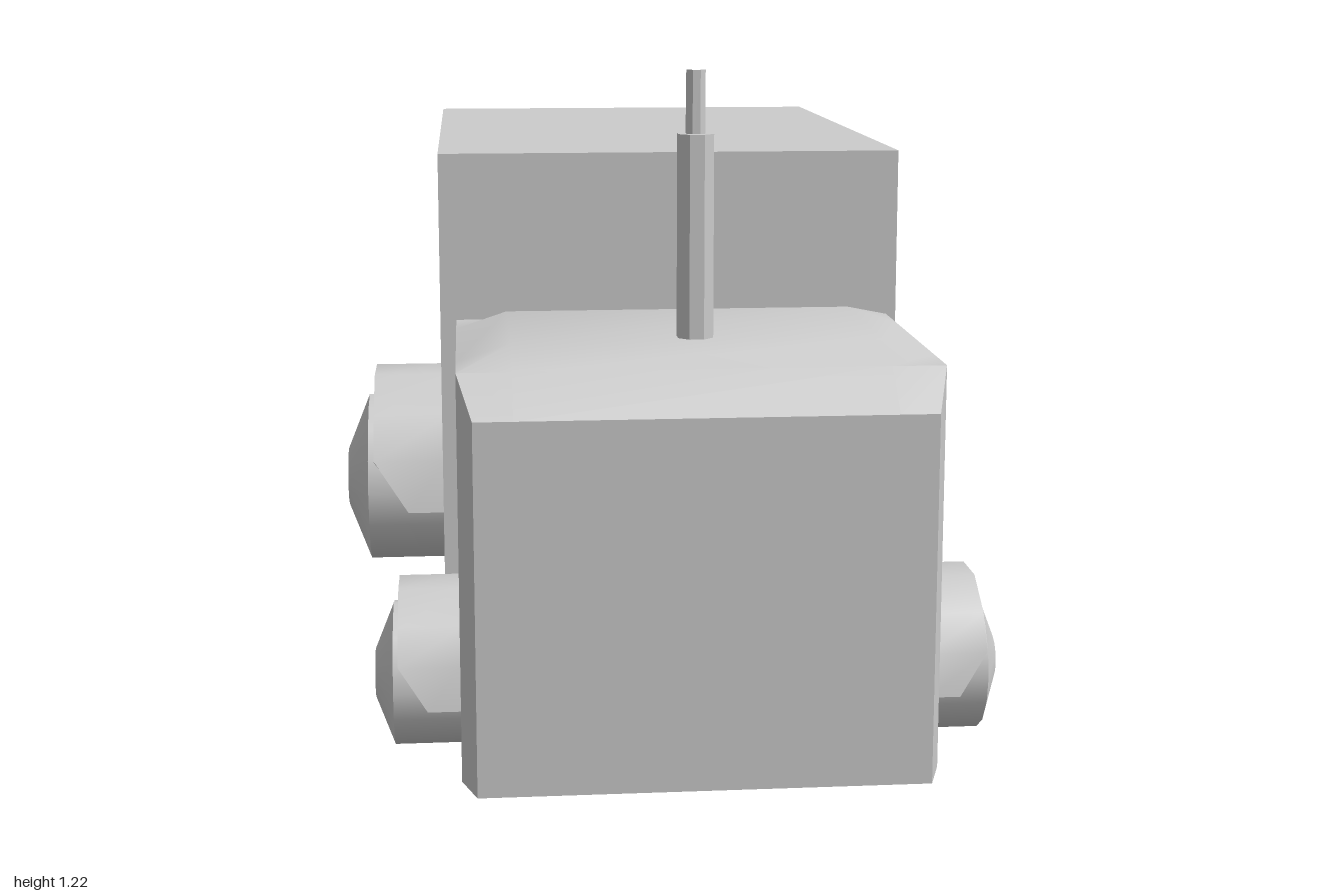
import * as THREE from 'three';
import { toCreasedNormals } from 'three/addons/utils/BufferGeometryUtils.js';

const grey = new THREE.MeshStandardMaterial({ color: 0xcccccc });
const greyOpen = new THREE.MeshStandardMaterial({ color: 0xcccccc, side: THREE.DoubleSide });

function add(parent, name, geometry, x = 0, y = 0, z = 0, material = grey) {
  const mesh = new THREE.Mesh(geometry, material);
  mesh.name = name;
  mesh.position.set(x, y, z);
  parent.add(mesh);
  return mesh;
}

// Skin over matching cross-sections (counter-clockwise seen from +z, listed towards +z)
function loft(sections, crease) {
  const pos = [];
  const tri = (...points) => points.forEach((p) => pos.push(...p));
  const n = sections[0].length;
  for (let i = 0; i + 1 < sections.length; i++) {
    const a = sections[i], b = sections[i + 1];
    for (let j = 0; j < n; j++) {
      const k = (j + 1) % n;
      tri(a[j], a[k], b[k]);
      tri(a[j], b[k], b[j]);
    }
  }
  const first = sections[0], last = sections[sections.length - 1];
  for (let j = 1; j + 1 < n; j++) {
    tri(first[0], first[j + 1], first[j]);
    tri(last[0], last[j], last[j + 1]);
  }
  const geometry = new THREE.BufferGeometry();
  geometry.setAttribute('position', new THREE.Float32BufferAttribute(pos, 3));
  return toCreasedNormals(geometry, crease);
}

// Cab with hipped roof and chamfered nose: z, half width, eave, ridge half width, ridge height
function cabGeometry() {
  const rows = [
    [0.405, 0.4, 0.745, 0.31, 0.745],
    [0.5, 0.4, 0.745, 0.31, 0.775],
    [0.83, 0.4, 0.745, 0.31, 0.775],
    [0.925, 0.4, 0.745, 0.31, 0.745],
    [1.0, 0.375, 0.68, 0.31, 0.68],
  ];
  return loft(rows.map(([z, w, e, r, t]) => [
    [-w, 0.055, z], [w, 0.055, z], [w, e, z], [r, t, z], [-r, t, z], [-w, e, z],
  ]), 0.65);
}

// Arched mudguard, narrower at its lower ends
function fenderGeometry() {
  const half = [[0.255, -0.026, 0.085], [0.231, 0.086, 0.16], [0.176, 0.176, 0.16], [0.065, 0.247, 0.16]];
  const arch = [...half.map(([z, y, w]) => [-z, y, w]), ...half.slice().reverse()];
  return loft(arch.map(([z, y, w]) => {
    const s = 0.89, yi = y < 0 ? y : y * s;
    return [[0, yi, z * s], [w, yi, z * s], [w, y, z], [0, y, z]];
  }), 0.6);
}

// Wheel and mudguard pointing outwards along +x
function wheelUnit(name) {
  const unit = new THREE.Group();
  unit.name = name;
  const ring = (part, r0, x0, r1, x1) => {
    const points = [new THREE.Vector2(r0, x0), new THREE.Vector2(r1, x1)];
    add(unit, part, new THREE.LatheGeometry(points, 16), 0, 0, 0, greyOpen).rotation.z = -Math.PI / 2;
  };
  ring('tyreTread', 0.19, 0, 0.19, 0.175);
  ring('wheelCone', 0.19, 0.175, 0.065, 0.225);
  ring('hubHole', 0.065, 0.225, 0.065, 0.01);
  ring('hubFloor', 0.065, 0.01, 0, 0.01);
  add(unit, 'mudguard', fenderGeometry());
  return unit;
}

// Teardrop with its tip at one point and its round end about another
function teardrop(parent, name, tip, centre, r) {
  const axis = tip.clone().sub(centre);
  const points = [];
  for (let i = 0; i <= 6; i++) {
    const a = -Math.PI / 2 + (i / 6) * (Math.PI / 2 + 0.35);
    points.push(new THREE.Vector2(Math.max(0, r * Math.cos(a)), r * Math.sin(a)));
  }
  points.push(new THREE.Vector2(r * 0.5, axis.length() * 0.55));
  points.push(new THREE.Vector2(0, axis.length()));
  const mesh = add(parent, name, new THREE.LatheGeometry(points, 12), centre.x, centre.y, centre.z);
  mesh.quaternion.setFromUnitVectors(new THREE.Vector3(0, 1, 0), axis.normalize());
}

export function createModel() {
  const model = new THREE.Group();
  model.name = 'truck';

  add(model, 'cab', cabGeometry());
  add(model, 'coupling', new THREE.BoxGeometry(0.33, 0.37, 0.08), 0, 0.27, 0.375);

  // Cargo box: solid body plus a frame around the recessed rear opening
  add(model, 'cargoBody', new THREE.BoxGeometry(0.86, 0.99, 1.035), 0, 0.55, -0.1725);
  const frame = new THREE.Shape([[-0.43, 0.055], [0.43, 0.055], [0.43, 1.045], [-0.43, 1.045]]
    .map((p) => new THREE.Vector2(...p)));
  frame.holes.push(new THREE.Path([[-0.39, 0.265], [-0.39, 1.0], [0.39, 1.0], [0.39, 0.265]]
    .map((p) => new THREE.Vector2(...p))));
  add(model, 'rearFrame', new THREE.ExtrudeGeometry(frame, { depth: 0.18, bevelEnabled: false }), 0, 0, -0.87);

  // Wheels with mudguards, the front pair smaller
  for (const [name, x, y, z, s] of [['rearWheel', 0.43, 0.23, -0.53, 1], ['frontWheel', 0.4, 0.165, 0.676, 0.66]]) {
    for (const side of [1, -1]) {
      const unit = wheelUnit(name + (side > 0 ? 'Left' : 'Right'));
      unit.position.set(side * x, y, z);
      unit.rotation.y = side > 0 ? 0 : Math.PI;
      unit.scale.setScalar(s);
      model.add(unit);
    }
  }

  // Exhaust stack with a slanted open tip
  const stack = new THREE.CylinderGeometry(0.032, 0.032, 0.36, 8);
  stack.rotateY(Math.PI / 8);
  add(model, 'exhaustStack', toCreasedNormals(stack, 0.3), 0, 0.935, 0.79);
  const tip = new THREE.CylinderGeometry(0.017, 0.017, 0.12, 8, 1, true);
  tip.rotateY(Math.PI / 8);
  const p = tip.attributes.position;
  for (let i = 0; i < p.count; i++) {
    if (p.getY(i) > 0 && p.getZ(i) < 0.001) p.setY(i, 0.06 + p.getZ(i) * 1.5);
  }
  add(model, 'exhaustTip', toCreasedNormals(tip, 0.3), 0, 1.16, 0.79, greyOpen);

  // Pair of hanging teardrops at the rear
  const hook = new THREE.Vector3(0, 0.25, -0.87);
  teardrop(model, 'rearPendantRight', hook, new THREE.Vector3(-0.056, 0.07, -0.928), 0.066);
  teardrop(model, 'rearPendantLeft', hook, new THREE.Vector3(0.067, 0.08, -0.935), 0.066);

  return model;
}
